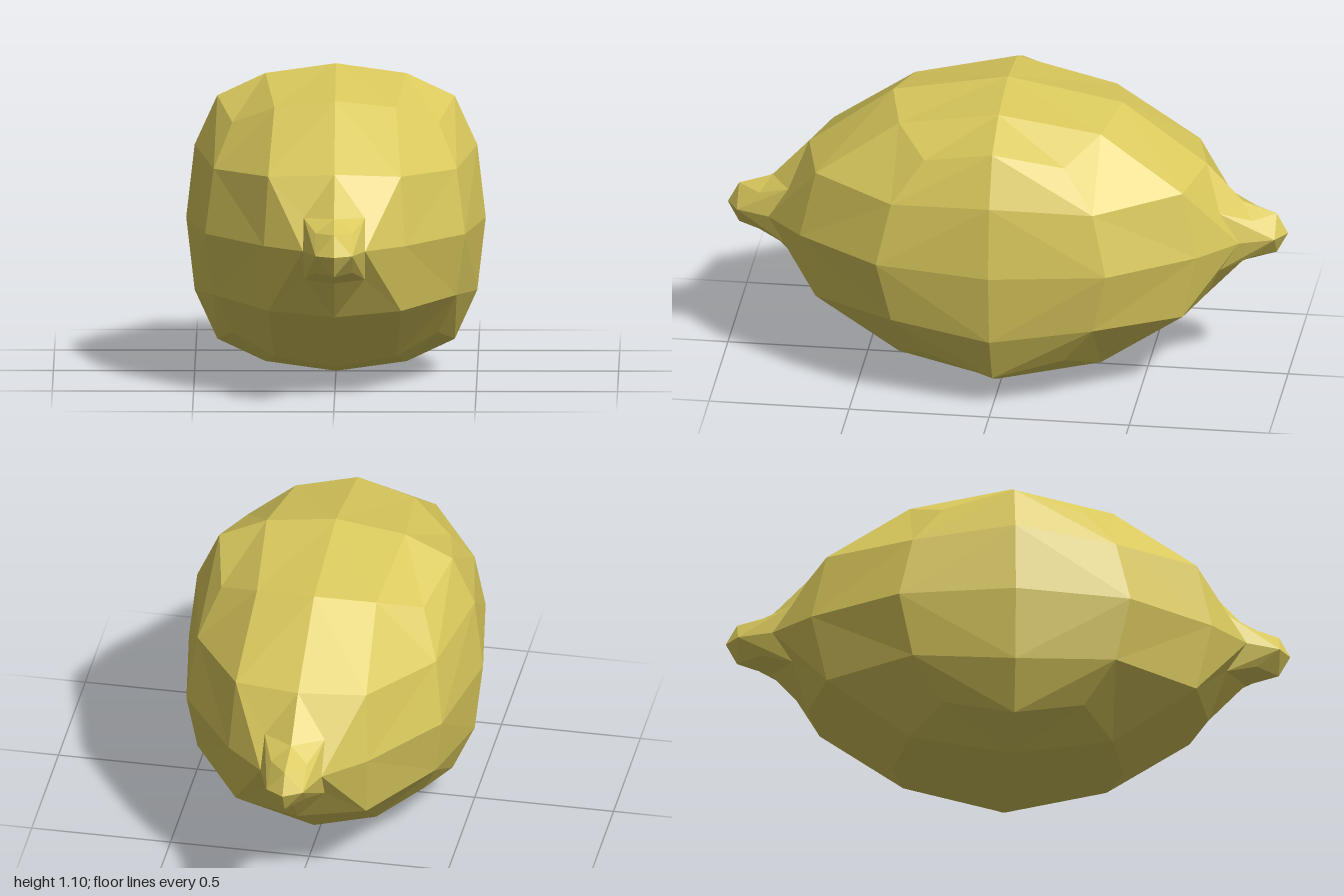
import * as THREE from 'three';

// Quarter rings of one octant, running from the top (x = 0) round to the side (y = 0)
const equator = [[0, 0.55, 0], [0.25, 0.515, 0], [0.42, 0.435, 0], [0.5, 0.26, 0], [0.53, 0, 0]];
const shoulder = [[0, 0.475, 0.41], [0.215, 0.445, 0.36], [0.365, 0.375, 0.25], [0.43, 0.225, 0.36], [0.46, 0, 0.41]];
const taper = [[0, 0.255, 0.71], [0.235, 0.24, 0.655], [0.25, 0, 0.71]];
const tipBase = [[0, 0.115, 0.84], [0.108, 0.11, 0.77], [0.11, 0, 0.84]];
const tipRim = [[0, 0.075, 0.96], [0.065, 0.07, 0.88], [0.065, 0, 0.96]];
const tipPoint = [0, 0, 1];

// Quads between two quarter rings with equal point counts
function band(outer, inner) {
  const quads = [];
  for (let i = 0; i < outer.length - 1; i++) quads.push([outer[i], inner[i], inner[i + 1], outer[i + 1]]);
  return quads;
}

// Repeat octant quads across x and y, and across the given z sides
function mirrored(quads, zSides) {
  const positions = [];
  for (const sx of [1, -1]) for (const sy of [1, -1]) for (const sz of zSides) {
    const order = sx * sy * sz > 0 ? [0, 1, 2, 0, 2, 3] : [0, 2, 1, 0, 3, 2];
    for (const quad of quads) for (const i of order) {
      const [x, y, z] = quad[i];
      positions.push(x * sx, y * sy, z * sz);
    }
  }
  const geometry = new THREE.BufferGeometry();
  geometry.setAttribute('position', new THREE.Float32BufferAttribute(positions, 3));
  geometry.computeVertexNormals();
  return geometry;
}

export function createModel() {
  const fruit = new THREE.Group();
  fruit.name = 'lemon';
  const peel = new THREE.MeshStandardMaterial({ color: 0xd9c85c, flatShading: true });

  function add(name, quads, zSides) {
    const mesh = new THREE.Mesh(mirrored(quads, zSides), peel);
    mesh.name = name;
    mesh.position.y = 0.55;
    fruit.add(mesh);
  }

  // Faceted body: the sixteen-sided shoulder meets the eight-sided taper at diagonal corner quads
  add('body', [
    ...band(equator, shoulder),
    [shoulder[0], taper[0], taper[1], shoulder[1]],
    [shoulder[1], taper[1], shoulder[3], shoulder[2]],
    [shoulder[3], taper[1], taper[2], shoulder[4]],
    ...band(taper, tipBase),
  ], [1, -1]);

  // Small pinched tips at both ends
  const tip = [...band(tipBase, tipRim), [tipRim[0], tipPoint, tipRim[2], tipRim[1]]];
  add('frontTip', tip, [1]);
  add('backTip', tip, [-1]);

  return fruit;
}
